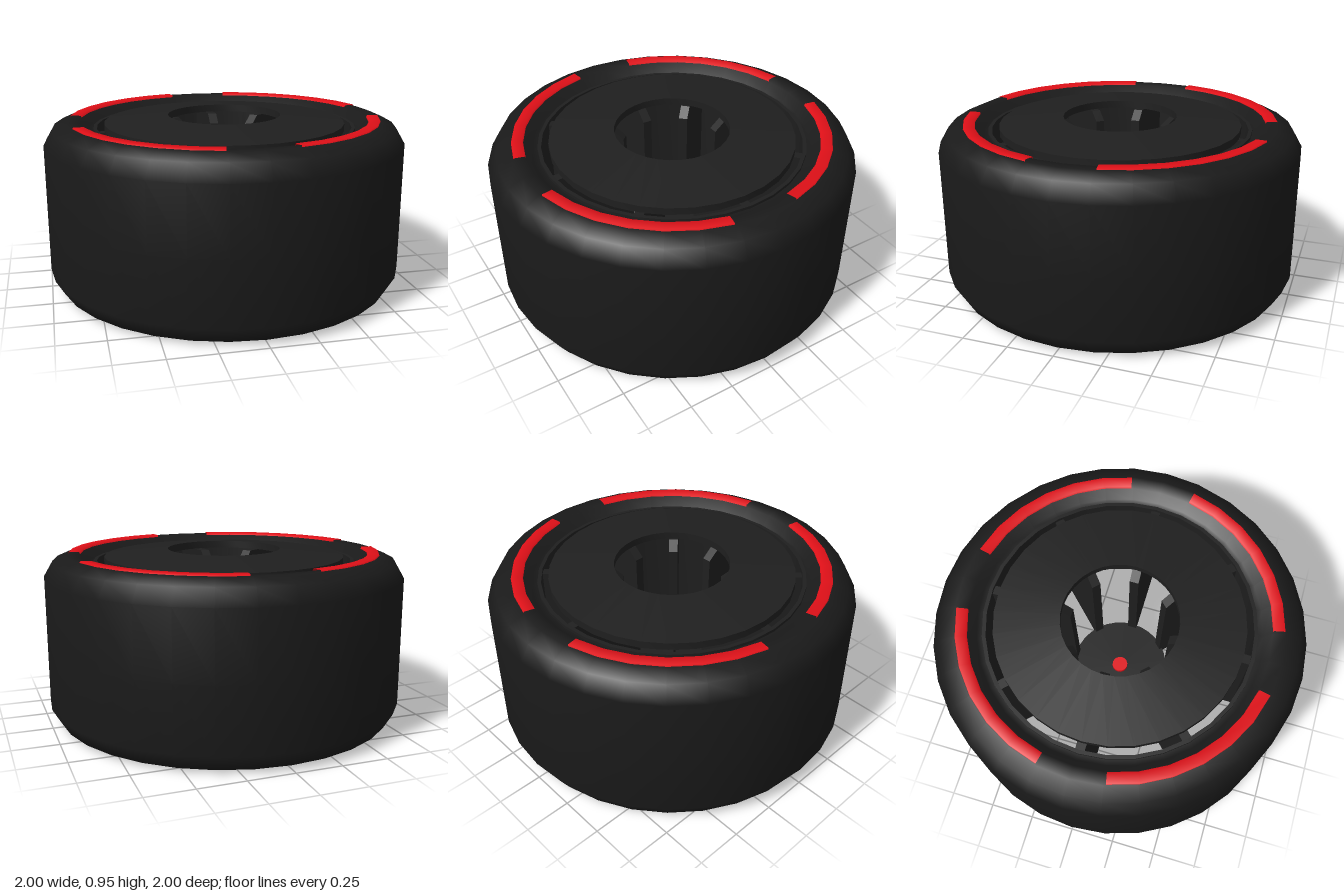
import * as THREE from 'three';
import { toCreasedNormals } from 'three/addons/utils/BufferGeometryUtils.js';

const SEGMENTS = 32;

function material(color) {
  return new THREE.MeshStandardMaterial({ color, side: THREE.DoubleSide });
}

// Revolves a list of [radius, height] points around the axle
function revolve(points, segments = SEGMENTS, start = 0, length = Math.PI * 2) {
  return new THREE.LatheGeometry(points.map(([r, y]) => new THREE.Vector2(r, y)), segments, start, length);
}

export function createModel() {
  const model = new THREE.Group();
  const rubber = material(0x1a1a1a);
  const metal = material(0x1f1f1f);
  const red = material(0xe01018);

  function add(name, geometry, mat, parent = model) {
    const mesh = new THREE.Mesh(geometry, mat);
    mesh.name = name;
    parent.add(mesh);
    return mesh;
  }

  // Tyre lying flat: lower sidewall, tread, upper sidewall with a groove by the rim
  add('tyre', revolve([
    [0.715, 0.11], [0.75, 0.07], [0.80, 0.02], [0.87, 0.005], [0.95, 0.025],
    [1, 0.11], [1, 0.46], [1, 0.82],
    [0.95, 0.905], [0.87, 0.94], [0.80, 0.935], [0.76, 0.885], [0.715, 0.885],
  ]), rubber);

  // Rim barrel inside the tyre
  add('rimBarrel', toCreasedNormals(revolve([
    [0.71, 0.1], [0.73, 0.1], [0.73, 0.9], [0.71, 0.9], [0.71, 0.1],
  ]), 0.6), metal);

  // Four red sidewall stripes
  const stripes = new THREE.Group();
  stripes.name = 'sidewallStripes';
  model.add(stripes);
  const span = THREE.MathUtils.degToRad(66);
  for (let i = 0; i < 4; i++) {
    const start = Math.PI / 4 + i * Math.PI / 2 - span / 2;
    add('stripe', revolve([
      [0.868, 0.93], [0.862, 0.948], [0.805, 0.946], [0.795, 0.92],
    ], 6, start, span), red, stripes);
  }

  // Slightly conical cover ring with a central hole
  add('wheelCover', toCreasedNormals(revolve([
    [0.315, 0.915], [0.67, 0.88], [0.67, 0.92], [0.315, 0.955], [0.315, 0.915],
  ]), 0.6), metal);

  // Hub plate deep inside with a red centre cap
  const hub = add('hub', new THREE.CylinderGeometry(0.28, 0.28, 0.04, SEGMENTS), metal);
  hub.position.y = 0.2;
  const cap = add('hubCap', new THREE.CylinderGeometry(0.045, 0.045, 0.02, 16), red);
  cap.position.y = 0.23;

  // Eight upright spokes joining hub, cover and rim
  const side = new THREE.Shape([
    [0.26, 0.18], [0.72, 0.18], [0.72, 0.88], [0.33, 0.9], [0.27, 0.85],
  ].map(([x, y]) => new THREE.Vector2(x, y)));
  const spokeGeometry = new THREE.ExtrudeGeometry(side, { depth: 0.05, bevelEnabled: false });
  spokeGeometry.translate(0, 0, -0.025);
  const spokes = new THREE.Group();
  spokes.name = 'spokes';
  model.add(spokes);
  for (let i = 0; i < 8; i++) {
    add('spoke', spokeGeometry, metal, spokes).rotation.y = i * Math.PI / 4;
  }

  return model;
}
